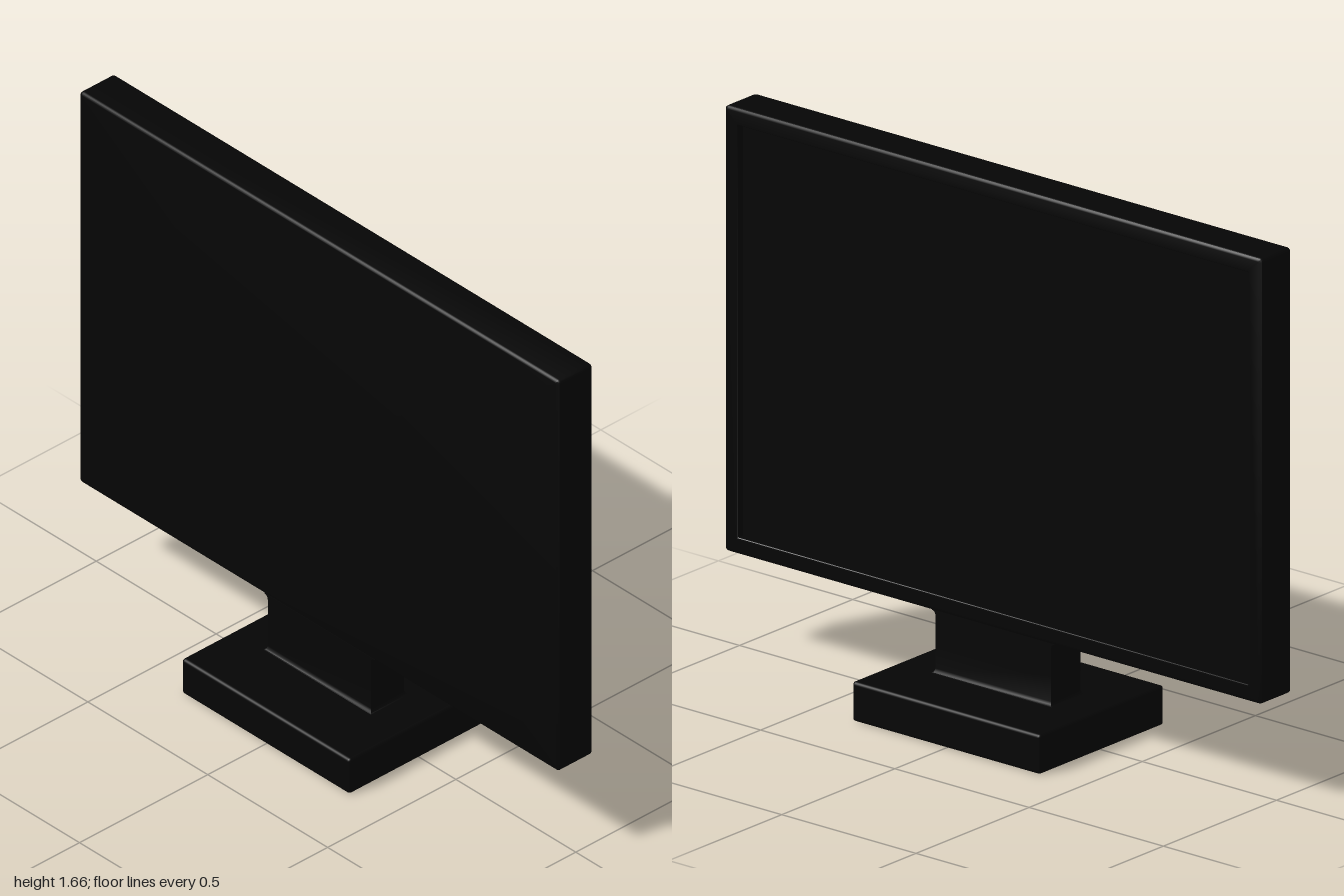
import * as THREE from 'three';
import { RoundedBoxGeometry } from 'three/addons/geometries/RoundedBoxGeometry.js';
import { toCreasedNormals } from 'three/addons/utils/BufferGeometryUtils.js';

// Rounded-rectangle loop (counter-clockwise), shrunk by an inset
function roundedLoop(halfW, halfH, inset, z, steps = 3) {
  const w = halfW - inset, h = halfH - inset;
  const r = Math.max(0.012 - inset, 0.002);
  const corners = [[1, 1], [-1, 1], [-1, -1], [1, -1]];
  const points = [];
  corners.forEach(([sx, sy], c) => {
    for (let i = 0; i <= steps; i++) {
      const a = (c + i / steps) * Math.PI / 2;
      points.push([sx * (w - r) + r * Math.cos(a), sy * (h - r) + r * Math.sin(a), z]);
    }
  });
  return points;
}

// Joins cross-section loops from front to back and caps both ends
function loft(loops) {
  const n = loops[0].length, positions = loops.flat(2), index = [];
  for (let k = 0; k < loops.length - 1; k++) {
    for (let i = 0; i < n; i++) {
      const j = (i + 1) % n, a = k * n + i, b = k * n + j;
      index.push(a, a + n, b, b, a + n, b + n);
    }
  }
  const last = (loops.length - 1) * n, front = loops.length * n, back = front + 1;
  positions.push(0, 0, loops[0][0][2], 0, 0, loops[loops.length - 1][0][2]);
  for (let i = 0; i < n; i++) {
    const j = (i + 1) % n;
    index.push(front, i, j, back, last + j, last + i);
  }
  const geometry = new THREE.BufferGeometry();
  geometry.setAttribute('position', new THREE.Float32BufferAttribute(positions, 3));
  geometry.setIndex(index);
  return toCreasedNormals(geometry, 0.6);
}

export function createModel() {
  const model = new THREE.Group();
  model.name = 'monitor';
  const material = new THREE.MeshStandardMaterial({ color: 0x050505 });
  const add = (name, geometry, y) => {
    const mesh = new THREE.Mesh(geometry, material);
    mesh.name = name;
    mesh.position.y = y;
    model.add(mesh);
  };

  // Foot plate
  add('base', new RoundedBoxGeometry(0.7, 0.12, 0.55, 3, 0.01), 0.06);

  // Neck, flaring slightly where it meets the base and the panel
  const neckH = 0.19, flare = 0.015;
  const neck = new THREE.BoxGeometry(0.43, neckH, 0.13, 1, 8, 1);
  const p = neck.attributes.position;
  const levels = [0, 0.003, 0.007, 0.015, neckH / 2, neckH - 0.015, neckH - 0.007, neckH - 0.003, neckH];
  const spread = d => d >= flare ? 0 : flare - Math.sqrt(flare ** 2 - (flare - d) ** 2);
  for (let i = 0; i < p.count; i++) {
    const y = levels[Math.round((p.getY(i) / neckH + 0.5) * 8)];
    const low = spread(y), high = spread(neckH - y);
    p.setXYZ(i,
      p.getX(i) + Math.sign(p.getX(i)) * (low + high),
      y,
      p.getZ(i) + Math.sign(p.getZ(i)) * low);
  }
  add('neck', toCreasedNormals(neck, 0.6), 0.118);

  // Panel: flat front, softened rim, and a shallow recess framed at the back
  const profile = [
    [0.01, 0.067], [0.004, 0.065], [0.001, 0.062], [0, 0.057],
    [0, -0.057], [0.001, -0.062], [0.004, -0.065], [0.01, -0.067],
    [0.048, -0.067], [0.05, -0.065], [0.05, -0.045],
  ];
  add('displayPanel', loft(profile.map(([inset, z]) => roundedLoop(1, 0.675, inset, z))), 0.982);

  return model;
}
